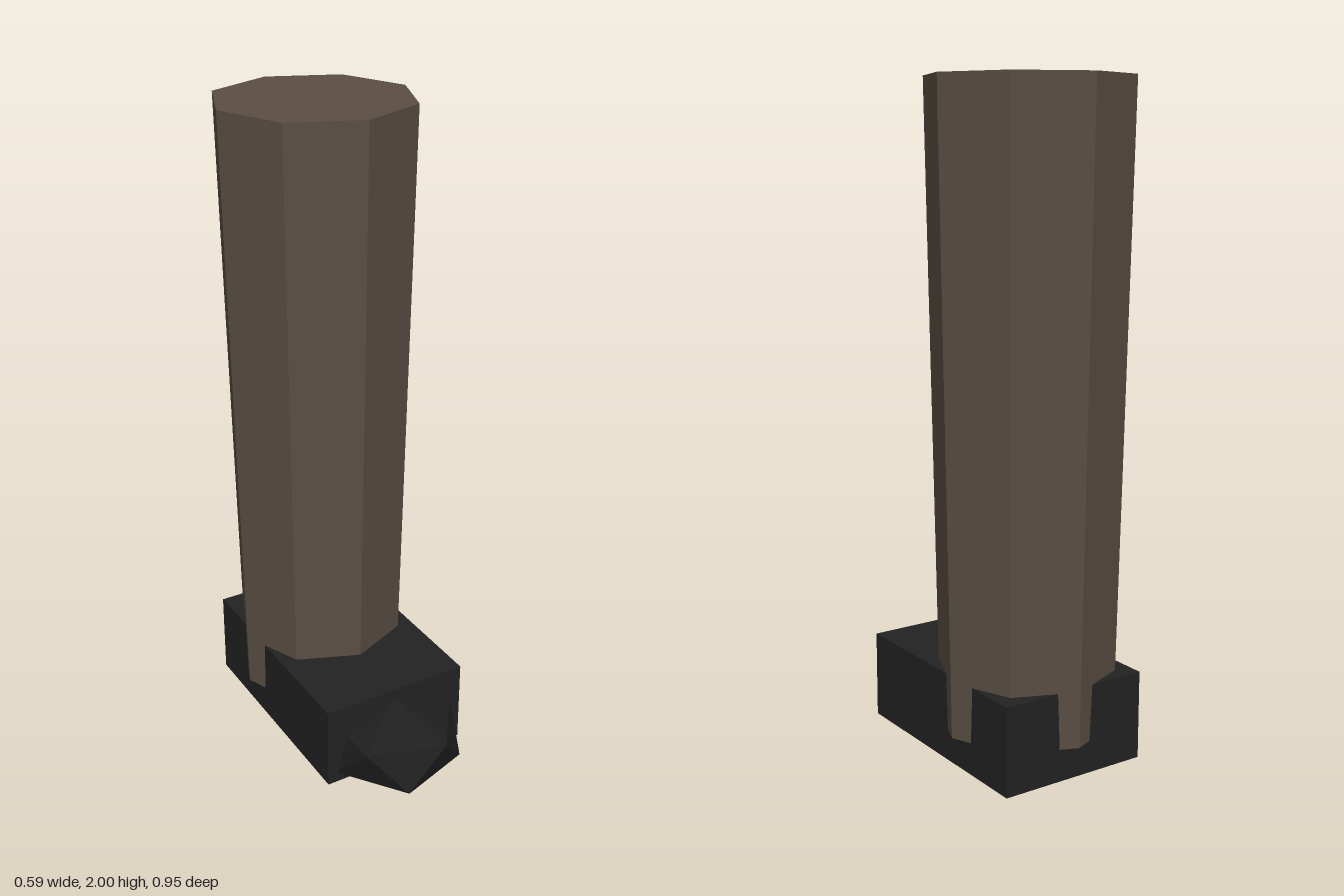
import * as THREE from 'three';

const material = (name, color) => {
  const m = new THREE.MeshStandardMaterial({ color, flatShading: true });
  m.name = name;
  return m;
};

export function createModel() {
  const group = new THREE.Group();
  group.name = 'bootedLeg';

  const add = (name, geometry, mat, x, y, z) => {
    const mesh = new THREE.Mesh(geometry, mat);
    mesh.name = name;
    mesh.position.set(x, y, z);
    group.add(mesh);
    return mesh;
  };

  const trouser = material('trouserBrown', 0x5a4e44);
  const leather = material('bootBlack', 0x222222);
  const cap = material('toeBlack', 0x1f1f1f);

  // Eight-sided leg, slightly wider at the top
  add('leg', new THREE.CylinderGeometry(0.295, 0.26, 1.854, 8), trouser, 0, 1.073, -0.182);

  // Block-shaped boot
  add('boot', new THREE.BoxGeometry(0.47, 0.265, 0.71), leather, 0, 0.182, -0.065);

  // Flattened icosahedron toe, turned to stand on one corner
  const toe = new THREE.IcosahedronGeometry(0.235, 0);
  toe.rotateZ(-Math.atan(2 / (1 + Math.sqrt(5))));
  toe.scale(0.98, 0.605, 0.98);
  add('toeCap', toe, cap, 0, 0.142, 0.28);

  return group;
}
